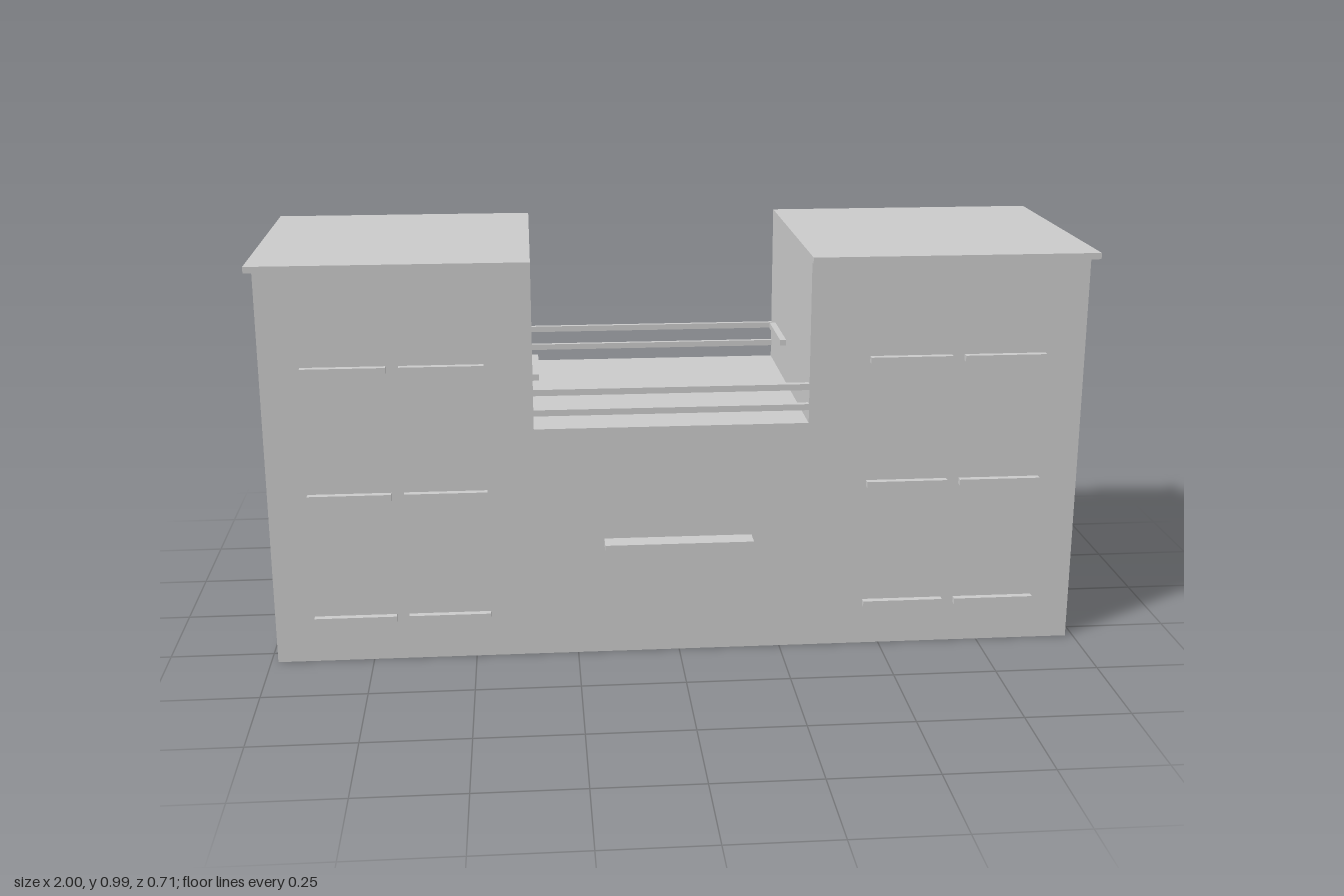
import * as THREE from 'three';

export function createModel() {
  const group = new THREE.Group();
  const material = new THREE.MeshStandardMaterial({ color: 0xcccccc, flatShading: true });

  const add = (name, geometry) => {
    const mesh = new THREE.Mesh(geometry, material);
    mesh.name = name;
    group.add(mesh);
    return mesh;
  };
  // Box given by its limits on each axis
  const box = (name, [x0, x1], [y0, y1], [z0, z1]) =>
    add(name, new THREE.BoxGeometry(x1 - x0, y1 - y0, z1 - z0))
      .position.set((x0 + x1) / 2, (y0 + y1) / 2, (z0 + z1) / 2);

  const back = -0.354, front = 0.303;
  const gapLeft = -0.348, gapRight = 0.312;

  // U-shaped body: two tall cabinets joined by a low middle bed
  const outline = [
    [-0.983, 0], [0.981, 0], [0.981, 0.97], [gapRight, 0.97],
    [gapRight, 0.578], [gapLeft, 0.578], [gapLeft, 0.97], [-0.983, 0.97],
  ].map(([x, y]) => new THREE.Vector2(x, y));
  add('cabinetBody', new THREE.ExtrudeGeometry(new THREE.Shape(outline),
    { depth: front - back, bevelEnabled: false })).position.z = back;

  // Overhanging tops
  box('cabinetTop', [-1, gapLeft], [0.97, 0.985], [back, 0.32]);
  box('cabinetTop', [gapRight, 1], [0.97, 0.985], [back, 0.32]);

  // Drawer handles: two per row, three rows on each cabinet
  for (const y of [0.102, 0.414, 0.726]) {
    for (const x of [-0.888, -0.66, 0.457, 0.686]) {
      box('drawerHandle', [x, x + 0.198], [y, y + 0.015], [front, 0.32]);
    }
  }

  // Wide handle in the middle of the front
  box('centreHandle', [-0.183, 0.177], [0.281, 0.297], [front, 0.354]);

  // Guard rails across the gap, front and back
  for (const y of [0.61, 0.66]) {
    box('frontRail', [gapLeft, gapRight], [y, y + 0.015], [0.286, front]);
    box('backRail', [gapLeft, gapRight], [y, y + 0.015], [back, -0.342]);
  }

  // Handles on the inner cabinet walls
  box('innerHandle', [gapLeft, gapLeft + 0.016], [0.675, 0.69], [0.02, 0.218]);
  box('innerHandle', [gapRight - 0.016, gapRight], [0.675, 0.69], [-0.275, -0.077]);

  return group;
}
